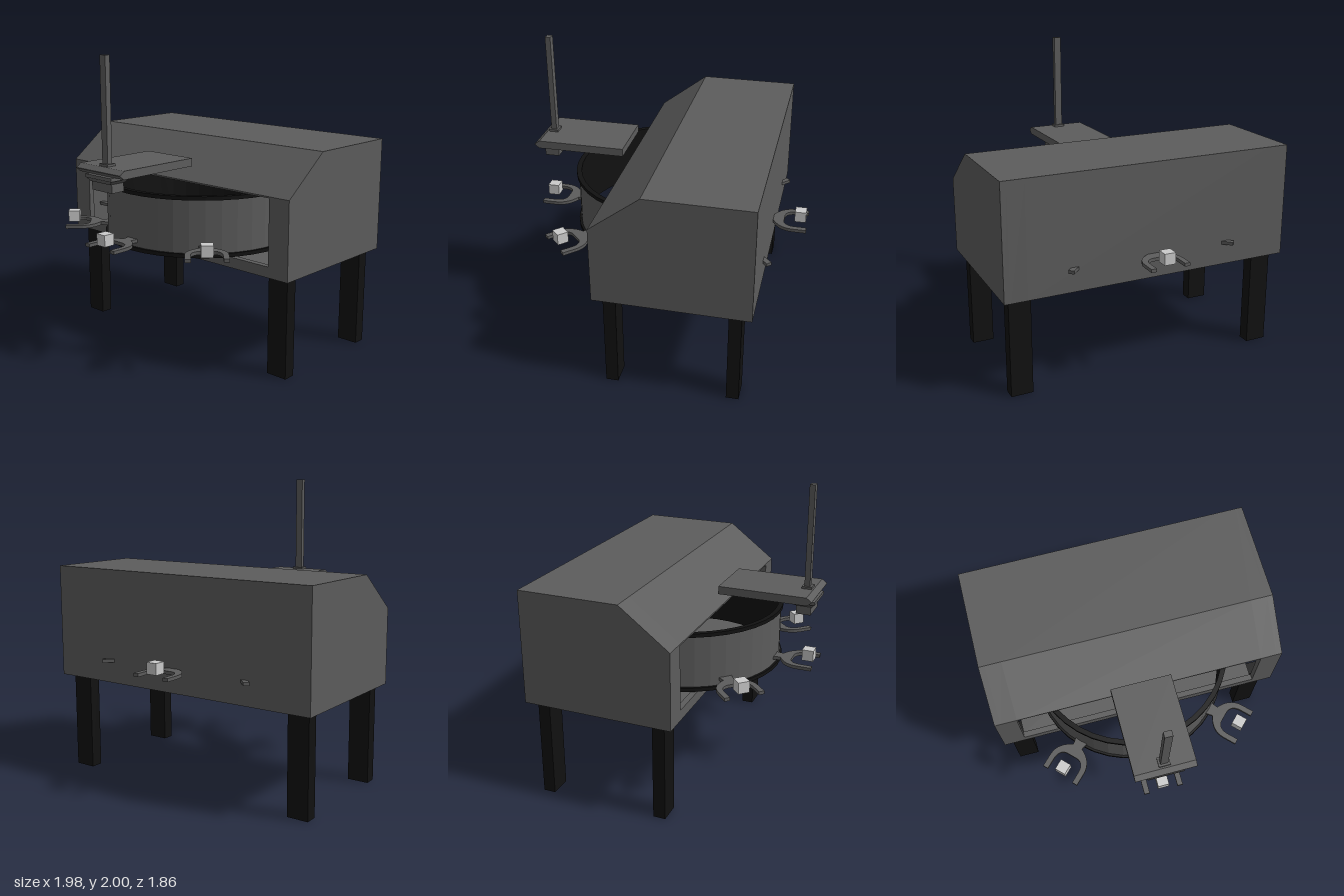
import * as THREE from 'three';

const paint = (color) => new THREE.MeshStandardMaterial({ color, flatShading: true });

export function createModel() {
  const model = new THREE.Group();
  const steel = paint(0x5c5c5c), black = paint(0x111111), pale = paint(0xcccccc);

  const add = (parent, name, geometry, material, x = 0, y = 0, z = 0) => {
    const mesh = new THREE.Mesh(geometry, material);
    mesh.name = name;
    mesh.position.set(x, y, z);
    parent.add(mesh);
    return mesh;
  };
  // box given by its limits
  const box = (parent, name, material, x0, x1, y0, y1, z0, z1) =>
    add(parent, name, new THREE.BoxGeometry(x1 - x0, y1 - y0, z1 - z0), material,
      (x0 + x1) / 2, (y0 + y1) / 2, (z0 + z1) / 2);
  // side profile of [z, y] points pulled along x from x0 to x1
  const profile = (parent, name, points, x0, x1, hole) => {
    const toVec = (p) => new THREE.Vector2(-p[0], p[1]);
    const shape = new THREE.Shape(points.map(toVec));
    if (hole) shape.holes.push(new THREE.Path(hole.map(toVec)));
    const geo = new THREE.ExtrudeGeometry(shape, { depth: x1 - x0, bevelEnabled: false });
    geo.rotateY(Math.PI / 2).translate(x0, 0, 0);
    return add(parent, name, geo, steel);
  };

  // Housing: hollow shell with a sloped upper front and a wide front opening
  const housing = new THREE.Group();
  housing.name = 'housing';
  model.add(housing);
  const outer = [[-0.7, 0.66], [0.31, 0.66], [0.31, 1.17], [-0.02, 1.42], [-0.7, 1.42]];
  const inner = [[-0.66, 0.7], [0.27, 0.7], [0.27, 1.14], [-0.04, 1.38], [-0.66, 1.38]];
  const open = [
    [0.31, 0.73], [0.27, 0.73], [0.27, 0.7], [-0.66, 0.7], [-0.66, 1.38], [-0.04, 1.38],
    [0.25, 1.16], [0.31, 1.16], [0.31, 1.17], [-0.02, 1.42], [-0.7, 1.42], [-0.7, 0.66], [0.31, 0.66],
  ];
  profile(housing, 'housingShell', open, -0.84, 0.84);
  for (const s of [-1, 1]) {
    profile(housing, 'frontFrameSide', outer, s > 0 ? 0.84 : -0.95, s > 0 ? 0.95 : -0.84, inner);
    profile(housing, 'endWall', outer, s > 0 ? 0.95 : -0.99, s > 0 ? 0.99 : -0.95);
  }

  // Legs
  for (const s of [-1, 1]) {
    for (const z of [0.207, -0.592]) {
      add(model, 'leg', new THREE.BoxGeometry(0.145, 0.67, 0.082), black, s * 0.872, 0.335, z);
    }
  }

  // Drum: open ring with a grey skin, black rims and a black lining
  const drum = new THREE.Group();
  drum.name = 'drum';
  model.add(drum);
  const ring = (name, points, material) =>
    add(drum, name, new THREE.LatheGeometry(points.map((p) => new THREE.Vector2(...p)), 40), material);
  ring('drumSkin', [[0.655, 0.765], [0.655, 1.12]], steel);
  ring('drumLining', [[0.636, 1.12], [0.636, 0.765]], black);
  for (const y of [0.745, 1.115]) {
    ring('drumRim', [[0.636, y], [0.67, y], [0.67, y + 0.025], [0.636, y + 0.025], [0.636, y]], black);
  }

  // Grippers: forked plates around the drum, each holding a small block
  const fork = new THREE.Shape();
  fork.moveTo(-0.045, 0.645);
  fork.lineTo(0.045, 0.645);
  fork.lineTo(0.035, 0.7);
  fork.bezierCurveTo(0.09, 0.725, 0.135, 0.77, 0.135, 0.84);
  fork.lineTo(0.135, 0.932);
  fork.lineTo(0.098, 0.932);
  fork.lineTo(0.098, 0.85);
  fork.bezierCurveTo(0.098, 0.8, 0.07, 0.774, 0.035, 0.774);
  fork.lineTo(-0.035, 0.774);
  fork.bezierCurveTo(-0.07, 0.774, -0.098, 0.8, -0.098, 0.85);
  fork.lineTo(-0.098, 0.932);
  fork.lineTo(-0.135, 0.932);
  fork.lineTo(-0.135, 0.84);
  fork.bezierCurveTo(-0.135, 0.77, -0.09, 0.725, -0.035, 0.7);
  const forkGeo = new THREE.ExtrudeGeometry(fork, { depth: 0.022, bevelEnabled: false, curveSegments: 8 });
  forkGeo.rotateX(Math.PI / 2);
  for (let i = 0; i < 8; i++) {
    const gripper = new THREE.Group();
    gripper.name = 'gripper';
    gripper.rotation.y = (i * Math.PI) / 4;
    add(gripper, 'fork', forkGeo, steel, 0, 0.822, 0);
    box(gripper, 'heldBlock', pale, -0.038, 0.038, 0.825, 0.9, 0.845, 0.921);
    model.add(gripper);
  }

  // Overhead arm with bevelled front edge, nozzle below and post above
  const arm = new THREE.Group();
  arm.name = 'overheadArm';
  model.add(arm);
  profile(arm, 'armPlate',
    [[0.31, 1.272], [0.9, 1.272], [0.93, 1.297], [0.93, 1.3], [0.895, 1.325], [0.31, 1.325]], -0.203, 0.203);
  box(arm, 'nozzleCollar', steel, -0.12, 0.12, 1.25, 1.272, 0.775, 0.93);
  const taper = new THREE.CylinderGeometry(Math.SQRT1_2, Math.SQRT1_2 * 0.78, 0.025, 4, 1);
  taper.rotateY(Math.PI / 4).scale(0.235, 1, 0.15);
  add(arm, 'nozzleTaper', taper, steel, 0, 1.2385, 0.852);
  box(arm, 'nozzle', steel, -0.092, 0.092, 1.17, 1.23, 0.803, 0.9);
  box(arm, 'postBase', steel, -0.038, 0.038, 1.32, 1.34, 0.82, 0.884);
  box(arm, 'post', steel, -0.025, 0.025, 1.33, 2, 0.834, 0.87);
  return model;
}
